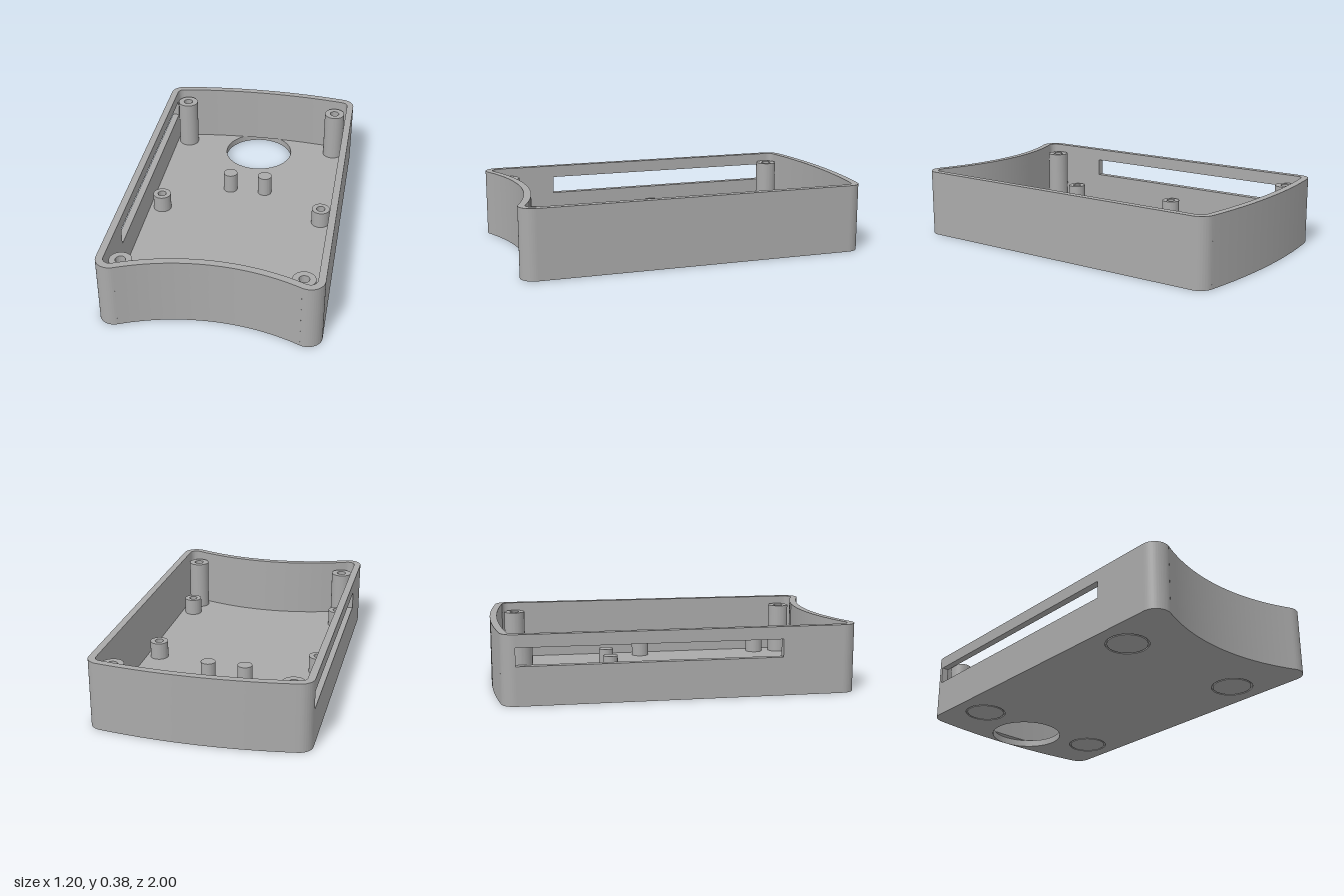
import * as THREE from 'three';
import { toCreasedNormals } from 'three/addons/utils/BufferGeometryUtils.js';

const HEIGHT = 0.385, FLOOR = 0.04, WALL = 0.04, SKIN = 0.008;
const PORT = { z0: 0.34, z1: 0.575, y0: 0.215, y1: 0.315 };

// Case outline in (x, z), inset by d; starts and ends on the -x side at the port
function outline(d) {
  const cx = 0.52, frontZ = 0.92, backZ = -0.879, r = 0.08 - d;
  const frontC = 2.09, backC = 2.4;
  const a = Math.atan2(frontC - frontZ, -cx);
  const b = Math.atan2(backZ - backC, cx);
  const path = new THREE.Path();
  path.moveTo(-0.6 + d, PORT.z0);
  path.absarc(-cx, backZ, r, Math.PI, Math.PI - b, false);
  path.absarc(0, backC, 3.4 - d, -Math.PI - b, b, false); // bulging back
  path.absarc(cx, backZ, r, b, 0, false);
  path.absarc(cx, frontZ, r, 0, a, false);
  path.absarc(0, frontC, 1.2 + d, a - Math.PI, -a, true); // hollow front
  path.absarc(-cx, frontZ, r, Math.PI - a, Math.PI, false);
  path.lineTo(-0.6 + d, PORT.z1);
  return path.getPoints(28);
}

const circle = (x, z, r) => new THREE.Path().absarc(x, z, r, 0, Math.PI * 2, false);

function disc(x, z, r, holeR = 0) {
  const shape = new THREE.Shape().absarc(x, z, r, 0, Math.PI * 2, false);
  if (holeR) shape.holes.push(circle(x, z, holeR));
  return shape;
}

export function createModel() {
  const group = new THREE.Group();
  const grey = new THREE.MeshStandardMaterial({ color: 0xaaaaaa });
  grey.name = 'grey plastic';

  // Extrude an (x, z) shape between two heights
  function slab(name, shape, y0, y1) {
    const geo = new THREE.ExtrudeGeometry(shape, { depth: y1 - y0, bevelEnabled: false, curveSegments: 28 });
    geo.rotateX(Math.PI / 2);
    geo.translate(0, y1, 0);
    const mesh = new THREE.Mesh(toCreasedNormals(geo, 0.5), grey);
    mesh.name = name;
    group.add(mesh);
  }

  const outer = outline(0), inner = outline(WALL);
  const feet = [[-0.41, -0.66], [0.41, -0.66], [-0.41, 0.6], [0.41, 0.6]];

  // Floor with the round opening, and a thin underside with ring grooves
  const floor = new THREE.Shape(outer);
  floor.holes.push(circle(0, -0.785, 0.213));
  slab('floor', floor, SKIN, FLOOR);

  const underside = new THREE.Shape(outer);
  underside.holes.push(circle(0, -0.785, 0.213));
  for (const [x, z] of feet) {
    underside.holes.push(circle(x, z, 0.118));
    slab('footPad', disc(x, z, 0.109), 0, SKIN);
  }
  slab('underside', underside, 0, SKIN);

  // Wall in three bands; the middle one is open at the side port
  const ring = new THREE.Shape(outer);
  ring.holes.push(new THREE.Path(inner));
  slab('lowerWall', ring, FLOOR, PORT.y0);
  slab('portWall', new THREE.Shape([...outer, ...inner.slice().reverse()]), PORT.y0, PORT.y1);
  slab('upperWall', ring, PORT.y1, HEIGHT);

  // Screw posts, board standoffs and locating pins, mirrored left and right
  for (const s of [-1, 1]) {
    for (const z of [-0.845, 0.865]) slab('screwPost', disc(s * 0.485, z, 0.062, 0.028), FLOOR, 0.34);
    for (const z of [-0.05, 0.705]) slab('standoff', disc(s * 0.485, z, 0.053, 0.025), FLOOR, 0.14);
    slab('locatingPin', disc(s * 0.108, -0.317, 0.042), FLOOR, 0.16);
  }
  return group;
}
